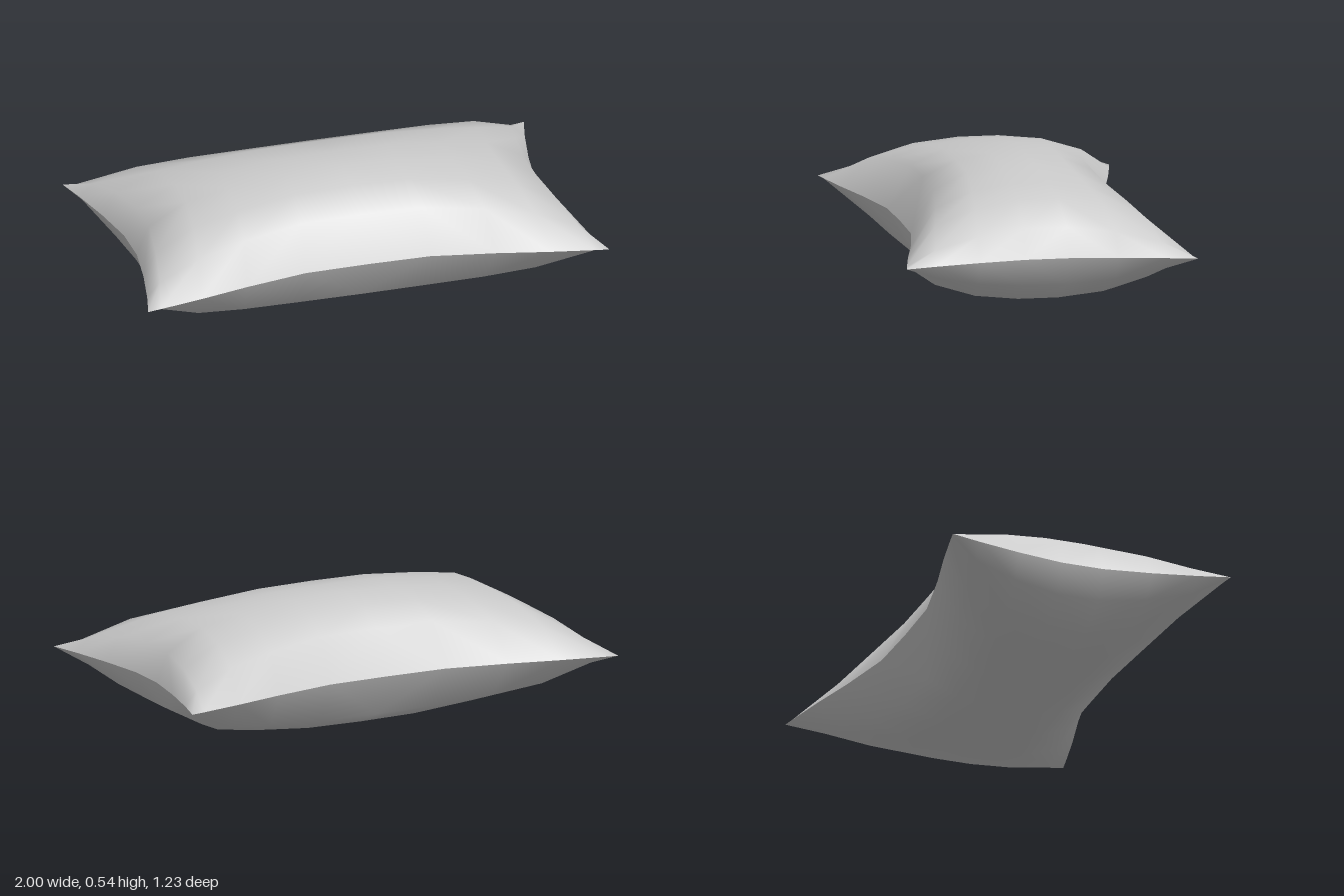
import * as THREE from 'three';

// Stations from the middle to the seam: [position, puff height, outward flare of the outline]
const LENGTH = [[0, 1, 0], [0.27, 0.985, 0.03], [0.54, 0.88, 0.36], [0.757, 0.77, 0.69], [0.94, 0.45, 0.93], [1, 0, 1]];
const WIDTH = [[0.15, 0.99, 0.06], [0.48, 0.91, 0.34], [0.79, 0.67, 0.7], [1, 0, 1]];
const HALF_HEIGHT = 0.275;

// Mirror a list of stations to the negative side
function mirrored(stations) {
  const negative = stations.filter(([p]) => p > 0).map(([p, h, f]) => [-p, h, f]).reverse();
  return [...negative, ...stations];
}

// One puffed sheet of cloth: side = 1 for the top, -1 for the underside
function clothSheet(side) {
  const us = mirrored(LENGTH), vs = mirrored(WIDTH);
  const positions = [], indices = [];
  for (const [v, hv, fv] of vs) {
    for (const [u, hu, fu] of us) {
      const pinch = 1 - 0.6 * u ** 4 * v ** 2; // flatten towards the corners
      positions.push(
        u * (0.885 + 0.115 * fv),
        HALF_HEIGHT * (1 + side * hu * hv * pinch),
        v * (0.455 + 0.16 * fu)
      );
    }
  }
  const add = (a, b, c) => indices.push(...(side > 0 ? [a, b, c] : [a, c, b]));
  const n = us.length;
  for (let j = 0; j < vs.length - 1; j++) {
    for (let i = 0; i < n - 1; i++) {
      const a = j * n + i, b = a + 1, c = a + n, d = c + 1;
      // Diagonals run out towards the corners
      const towards = (us[i][0] + us[i + 1][0]) * (vs[j][0] + vs[j + 1][0]) >= 0;
      if (towards) { add(a, c, d); add(a, d, b); }
      else { add(a, c, b); add(b, c, d); }
    }
  }
  const geometry = new THREE.BufferGeometry();
  geometry.setAttribute('position', new THREE.Float32BufferAttribute(positions, 3));
  geometry.setIndex(indices);
  geometry.computeVertexNormals();
  return geometry;
}

export function createModel() {
  const group = new THREE.Group();
  group.name = 'pillow';
  const material = new THREE.MeshStandardMaterial({ color: 0xcccccc });
  // Two sheets meet in a sharp seam around the edge
  for (const [name, side] of [['topCloth', 1], ['bottomCloth', -1]]) {
    const mesh = new THREE.Mesh(clothSheet(side), material);
    mesh.name = name;
    group.add(mesh);
  }
  return group;
}
